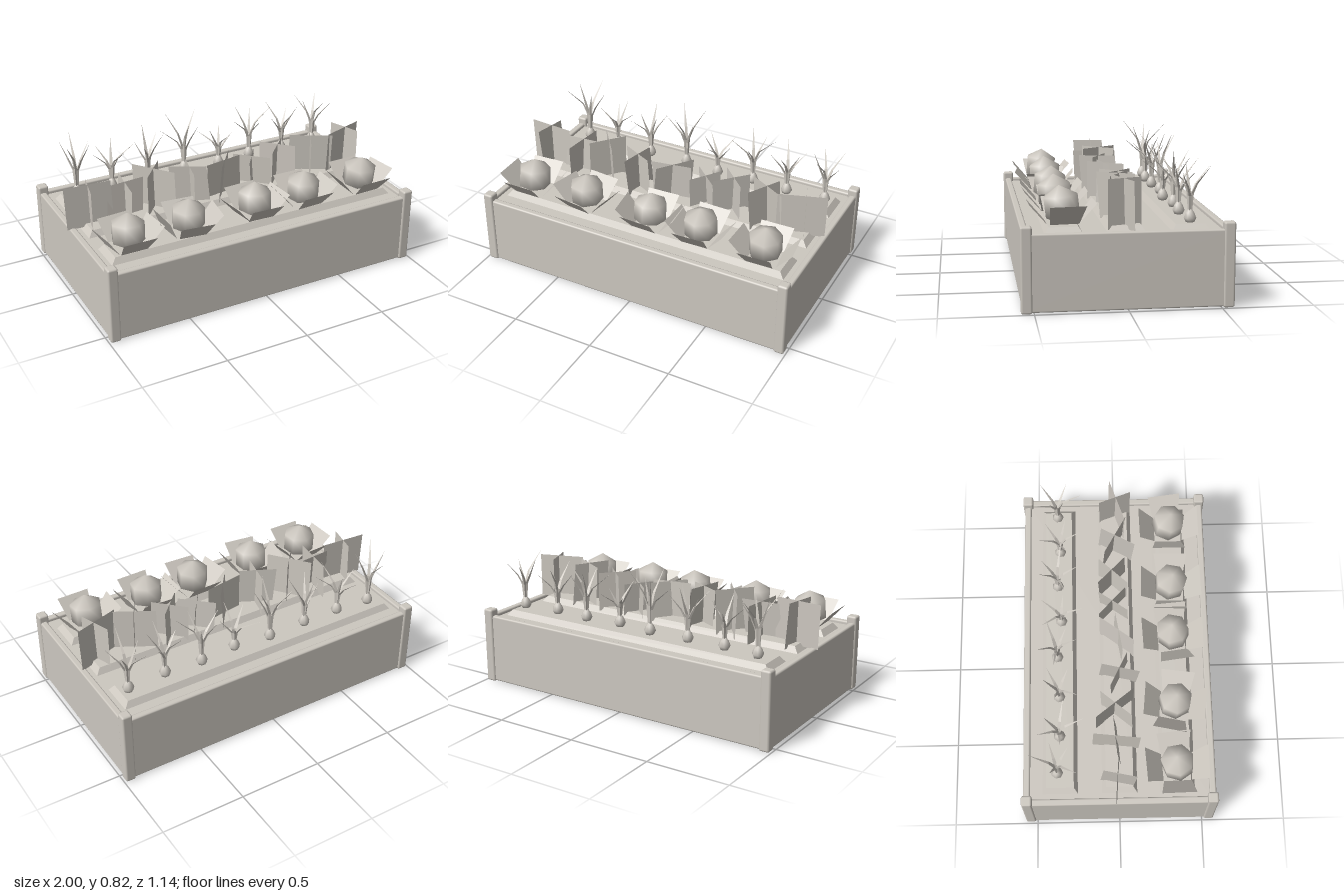
import * as THREE from 'three';
import { RoundedBoxGeometry } from 'three/addons/geometries/RoundedBoxGeometry.js';

const clay = new THREE.MeshStandardMaterial({ color: 0xcdc8c0 });
clay.name = 'clay';
const clayThin = clay;
clayThin.side = THREE.DoubleSide;

// Repeatable pseudo-random numbers
let seed = 7;
const rand = (a, b) => {
  seed = (seed * 16807) % 2147483647;
  return a + (b - a) * (seed / 2147483647);
};

function add(parent, name, geometry, x = 0, y = 0, z = 0) {
  const mesh = new THREE.Mesh(geometry, clay);
  mesh.name = name;
  mesh.position.set(x, y, z);
  parent.add(mesh);
  return mesh;
}

function group(parent, name, x, y, z) {
  const g = new THREE.Group();
  g.name = name;
  g.position.set(x, y, z);
  parent.add(g);
  return g;
}

// Long mound of earth with sloping sides
function ridgeGeometry() {
  const geo = new THREE.BoxGeometry(1.83, 0.04, 0.21).toNonIndexed();
  const p = geo.attributes.position;
  for (let i = 0; i < p.count; i++) {
    if (p.getY(i) > 0) p.setXYZ(i, p.getX(i) * 0.965, p.getY(i), p.getZ(i) * 0.76);
  }
  geo.computeVertexNormals();
  return geo;
}

// Flat four-cornered leaf
function quad(a, b, c, d) {
  const geo = new THREE.BufferGeometry();
  geo.setAttribute('position', new THREE.Float32BufferAttribute([a, b, c, a, c, d].flat(), 3));
  geo.computeVertexNormals();
  return geo;
}

// Three-sided blade that rises, then bends outwards to a point
function bladeGeometry(height, reach) {
  const sections = [[0.005, 0, 0.012], [0.014, height * 0.4, 0.012], [0.04, height * 0.62, 0.009], [reach, height, 0.0005]];
  const ring = ([x, y, r]) => [0, 1, 2].map(k => {
    const a = (k * Math.PI * 2) / 3;
    return [x + Math.cos(a) * r * 0.6, y, Math.sin(a) * r];
  });
  const pos = [];
  for (let s = 0; s < sections.length - 1; s++) {
    const lo = ring(sections[s]), hi = ring(sections[s + 1]);
    for (let k = 0; k < 3; k++) {
      const n = (k + 1) % 3;
      pos.push(...lo[k], ...hi[k], ...hi[n], ...lo[k], ...hi[n], ...lo[n]);
    }
  }
  const geo = new THREE.BufferGeometry();
  geo.setAttribute('position', new THREE.Float32BufferAttribute(pos, 3));
  geo.computeVertexNormals();
  return geo;
}

function buildPlanter(root) {
  const planter = group(root, 'planter', 0, 0, 0);
  for (const s of [-1, 1]) {
    add(planter, 'longWall', new RoundedBoxGeometry(1.92, 0.42, 0.04, 1, 0.01), 0, 0.215, s * 0.54);
    add(planter, 'shortWall', new RoundedBoxGeometry(0.04, 0.42, 1.08, 1, 0.01), s * 0.963, 0.215, 0);
    for (const t of [-1, 1]) {
      add(planter, 'cornerPost', new RoundedBoxGeometry(0.062, 0.465, 0.062, 1, 0.012), s * 0.96, 0.2325, t * 0.539);
    }
  }
  add(planter, 'soil', new THREE.BoxGeometry(1.91, 0.39, 1.06), 0, 0.21, 0);
  for (const z of [-0.345, 0, 0.335]) add(planter, 'soilRidge', ridgeGeometry(), 0, 0.42, z);
}

// Round heads with four flared outer leaves
function buildCabbages(root) {
  const row = group(root, 'cabbageRow', 0, 0, 0);
  const spots = [[-0.77, 0.335, 0.06], [-0.4, 0.335, -0.16], [0.03, 0.335, 0.05], [0.355, 0.335, -0.05], [0.755, 0.335, 0.06]];
  for (const [x, z, yaw] of spots) {
    const plant = group(row, 'cabbage', x, 0.44, z);
    const head = add(plant, 'cabbageHead', new THREE.SphereGeometry(0.11, 7, 3), 0, 0.095, 0);
    head.rotation.set(rand(-0.12, 0.12), rand(0, 6), rand(-0.12, 0.12));
    for (let k = 0; k < 4; k++) {
      const leaf = add(plant, 'outerLeaf', quad([-0.08, 0.005, 0.085], [0.08, 0.005, 0.085], [0.1, 0.115, 0.18], [-0.1, 0.115, 0.18]));
      leaf.rotation.y = (k * Math.PI) / 2 + yaw + rand(-0.1, 0.1);
    }
  }
}

// Upright crossed leaves: height, then the two ends of each leaf seen in plan
function buildLeafyRow(root) {
  const row = group(root, 'leafyRow', 0, 0, 0);
  const plants = [
    [0.685, [-1, -0.02, -0.72, 0], [-0.84, -0.1, -0.88, 0.09]],
    [0.645, [-0.62, -0.15, -0.65, 0.12], [-0.75, 0, -0.52, -0.02]],
    [0.69, [-0.53, -0.13, -0.36, 0.09], [-0.38, -0.1, -0.53, 0.08]],
    [0.665, [-0.2, -0.1, -0.25, 0.12], [-0.33, -0.04, -0.13, 0.06]],
    [0.655, [-0.12, 0.03, 0.12, -0.01], [0.08, -0.1, -0.07, 0.1]],
    [0.62, [0.13, -0.1, 0.3, 0.06], [0.27, -0.1, 0.15, 0.07]],
    [0.66, [0.31, -0.1, 0.47, 0.06], [0.46, -0.1, 0.3, 0.07]],
    [0.68, [0.66, -0.09, 0.55, 0.11], [0.5, -0.07, 0.73, 0.06]],
    [0.69, [0.7, 0.06, 0.97, -0.03], [0.82, -0.09, 0.89, 0.1]],
  ];
  for (const [top, ...leaves] of plants) {
    for (const [x0, z0, x1, z1] of leaves) {
      const lx = rand(-0.012, 0.012), lz = rand(-0.012, 0.012);
      add(row, 'uprightLeaf', quad([x0 - lx, 0.42, z0 - lz], [x1 - lx, 0.42, z1 - lz], [x1 + lx, top, z1 + lz], [x0 + lx, top, z0 + lz]));
    }
  }
}

// Small bulbs with spiky bent blades
function buildOnions(root) {
  const row = group(root, 'onionRow', 0, 0, 0);
  const profile = [[0, 0], [0.024, 0.008], [0.035, 0.03], [0.024, 0.058], [0.01, 0.078], [0, 0.085]].map(p => new THREE.Vector2(...p));
  const spots = [
    [-0.8, -0.36, 0.82], [-0.58, -0.345, 0.74], [-0.34, -0.345, 0.78], [-0.09, -0.355, 0.82],
    [0.14, -0.33, 0.71], [0.37, -0.35, 0.78], [0.6, -0.335, 0.75], [0.84, -0.35, 0.78],
  ];
  for (const [x, z, top] of spots) {
    const plant = group(row, 'onion', x, 0.435, z);
    add(plant, 'onionBulb', new THREE.LatheGeometry(profile, 7));
    const turn = rand(0, 6);
    for (let k = 0; k < 5; k++) {
      const height = (top - 0.495) * (k === 0 ? 1 : rand(0.75, 0.97));
      const blade = add(plant, 'onionBlade', bladeGeometry(height, rand(0.08, 0.155)), 0, 0.06, 0);
      blade.rotation.y = turn + (k * Math.PI * 2) / 5 + rand(-0.25, 0.25);
    }
  }
}

export function createModel() {
  const root = new THREE.Group();
  root.name = 'vegetablePlanter';
  buildPlanter(root);
  buildCabbages(root);
  buildLeafyRow(root);
  buildOnions(root);
  return root;
}
